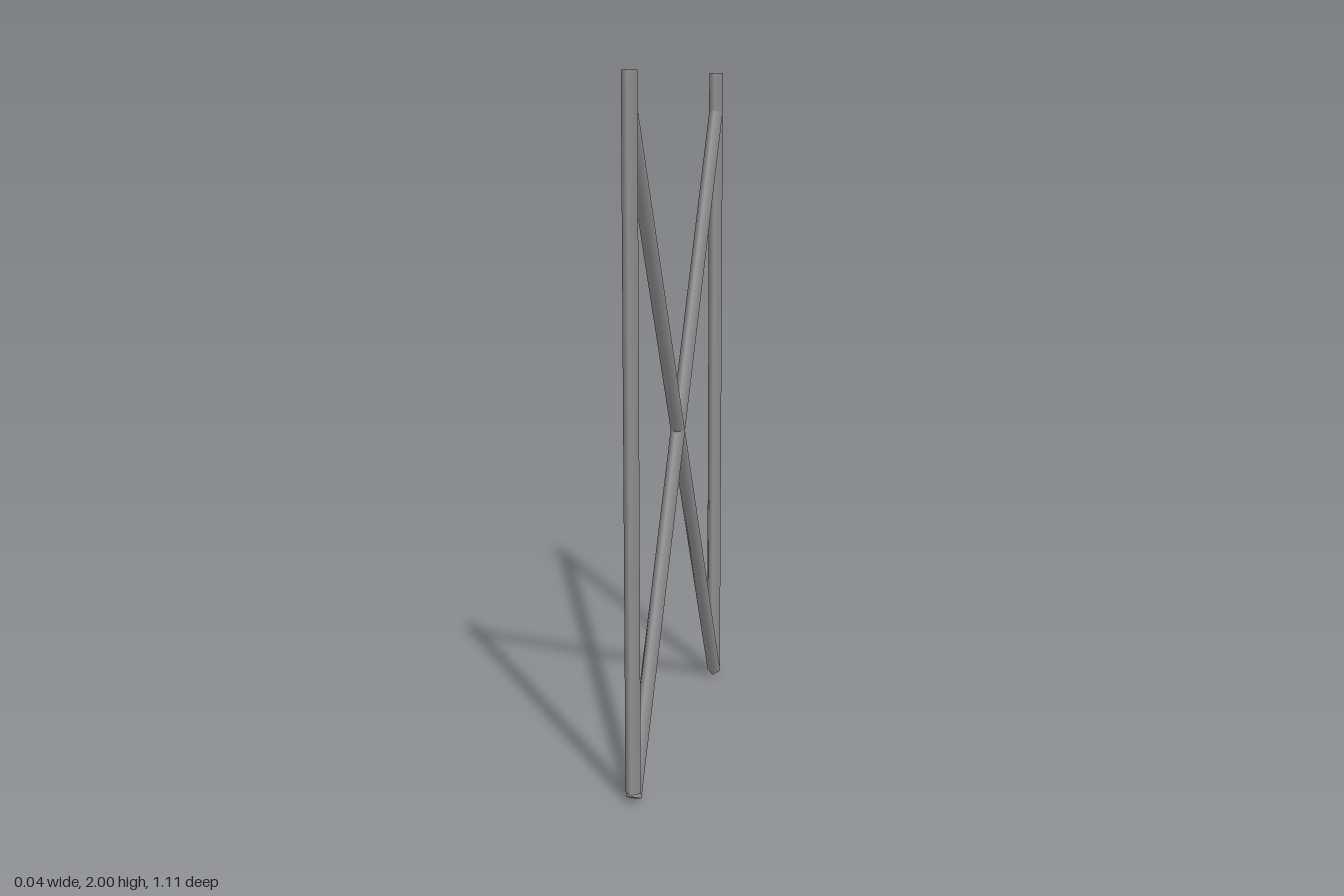
import * as THREE from 'three';

const RADIUS = 0.022;
const HALF_WIDTH = 0.533;
const BRACE_SHIFT = -0.007; // braces sit slightly towards the back

export function createModel() {
  const group = new THREE.Group();
  const material = new THREE.MeshStandardMaterial({ color: 0x979797 });

  // Four-sided bar between two points in the x = 0 plane, corners facing z and x
  function addBar(name, y0, z0, y1, z1) {
    const length = Math.hypot(y1 - y0, z1 - z0);
    const bar = new THREE.Mesh(new THREE.CylinderGeometry(RADIUS, RADIUS, length, 4), material);
    bar.position.set(0, (y0 + y1) / 2, (z0 + z1) / 2);
    bar.rotation.x = Math.atan2(z1 - z0, y1 - y0);
    bar.name = name;
    group.add(bar);
  }

  for (const [side, s] of [['front', 1], ['back', -1]]) {
    const z = s * HALF_WIDTH;
    // Upright post
    addBar(side + 'Post', 0.029, z, 2, z);
    // Diagonal brace rising from this post's foot to the opposite post
    addBar(side + 'Brace', 0.011, z + BRACE_SHIFT, 1.89, -z + BRACE_SHIFT);
  }
  return group;
}
